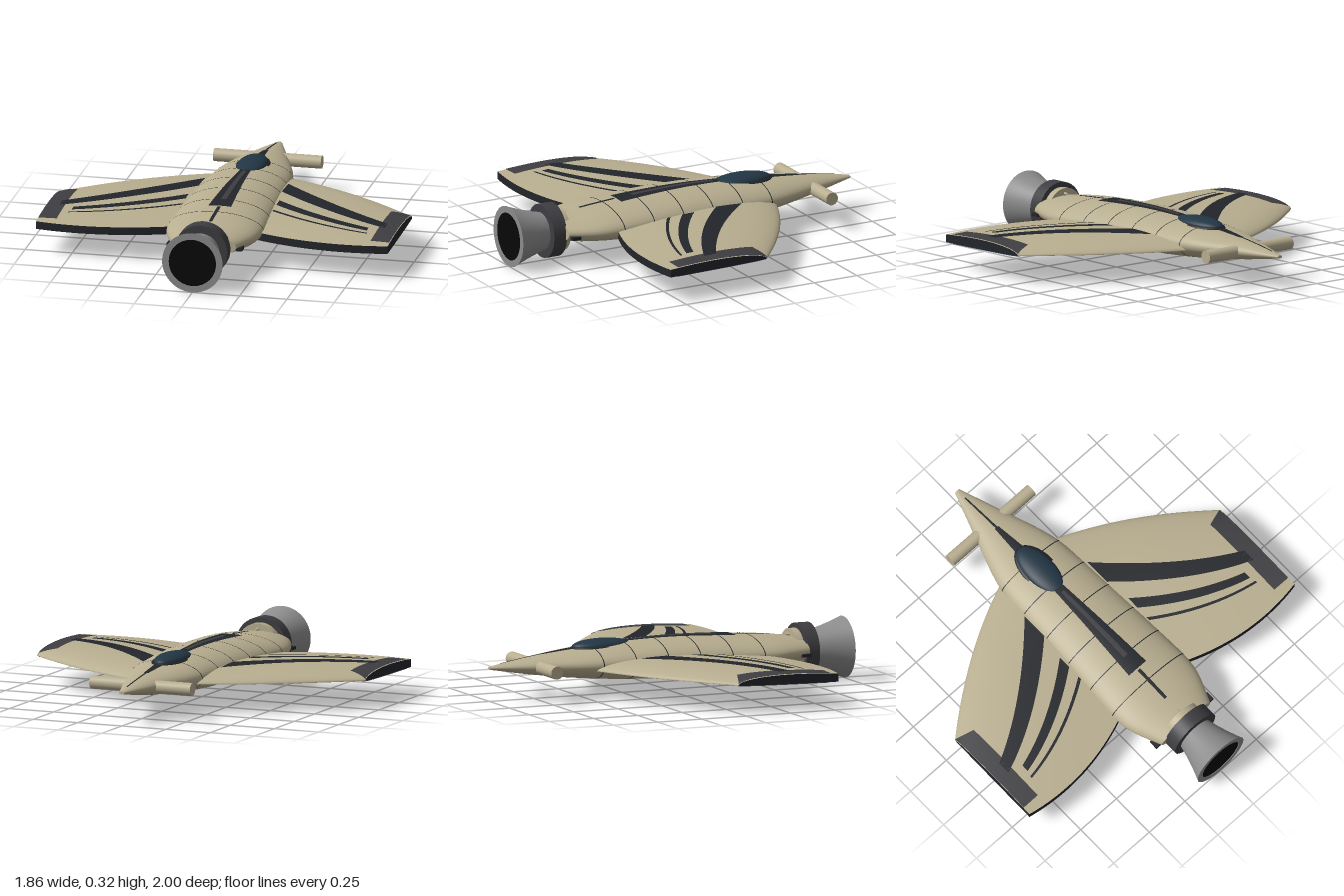
import * as THREE from 'three';
import { ParametricGeometry } from 'three/addons/geometries/ParametricGeometry.js';

const mat = (color) => new THREE.MeshStandardMaterial({ color, side: THREE.DoubleSide });
const TAN = mat(0xb8ae90), BLACK = mat(0x22252a), CHARCOAL = mat(0x3e3e42);
const GLASS = mat(0x223644), STEEL = mat(0x8c8c8c), VOID = mat(0x080808);
const lerp = THREE.MathUtils.lerp;

function add(parent, name, geometry, material, x = 0, y = 0, z = 0) {
  const mesh = new THREE.Mesh(geometry, material);
  mesh.name = name;
  mesh.position.set(x, y, z);
  parent.add(mesh);
  return mesh;
}

// Surface from a rule (u, v) -> [x, y, z]
const surface = (rule, nu, nv) =>
  new ParametricGeometry((u, v, target) => target.set(...rule(u, v)), nu, nv);

// Fuselage stations: z, half width, half height
const MID = 0.178;
const stations = [
  [-1, 0.015, 0.008], [-0.76, 0.1, 0.047], [-0.476, 0.194, 0.08], [-0.26, 0.22, 0.097],
  [0, 0.235, 0.106], [0.26, 0.245, 0.1], [0.49, 0.248, 0.086], [0.58, 0.233, 0.078], [0.738, 0.17, 0.06],
];
const samples = new THREE.CatmullRomCurve3(
  stations.map((p) => new THREE.Vector3(...p)), false, 'centripetal').getPoints(240);

function bodySize(z) {
  let i = 1;
  while (i < samples.length - 1 && samples[i].x < z) i++;
  const a = samples[i - 1], b = samples[i];
  const t = THREE.MathUtils.clamp((z - a.x) / (b.x - a.x), 0, 1);
  return [lerp(a.y, b.y, t), lerp(a.z, b.z, t)];
}

function bodyBand(z0, z1, offset, rows) {
  return surface((u, v) => {
    const z = lerp(z0, z1, v), [w, h] = bodySize(z), a = u * Math.PI * 2;
    return [(w + offset) * Math.cos(a), MID + (h + offset) * Math.sin(a), z];
  }, 64, rows);
}

// Stripe lying on the top (side 1) or bottom (side -1) of the fuselage
function bodyStripe(side, x, z0, z1, half0, half1, offset = 0.003) {
  return surface((u, v) => {
    const z = lerp(z0, z1, v), [w, h] = bodySize(z);
    const px = x + (0.5 - u) * 2 * lerp(half0, half1, v) * side;
    return [px, MID + side * (h * Math.sqrt(Math.max(0, 1 - (px / w) ** 2)) + offset), z];
  }, 6, 30);
}

// Wing rules: leading edge, trailing edge and section height
const ROOT = 0.1, TIP = 0.93;
function leadZ(x) {
  const t = (x - 0.2) / 0.73;
  return lerp(-0.47, -0.01, t) - 0.17 * t * (1 - t);
}
function trailZ(x) {
  const t = (x - 0.25) / 0.68;
  return 0.49 + 0.065 * t + 0.2 * t * (1 - t);
}
function wingY(x, f, side) {
  if (side < 0) return 0.155 - 0.015 * Math.sqrt(f);
  const arch = lerp(0.13, 0.075, Math.max(0, (x - 0.4) / 0.53) ** 2);
  return 0.155 + 0.026 * f + arch * Math.sqrt(f) * (1 - f);
}
function wingPoint(x, f, side) {
  return [x, wingY(x, f, side), lerp(leadZ(x), trailZ(x), f)];
}

// Stripe on the wing between x0 and x1; ends are [front z, back z]
function wingStripe(side, x0, x1, end0, end1, bulge) {
  return surface((u, v) => {
    const x = lerp(x0, x1, v), k = side > 0 ? u : 1 - u;
    const z = lerp(lerp(end0[0], end0[1], k), lerp(end1[0], end1[1], k), v) + bulge * 4 * v * (1 - v);
    const f = THREE.MathUtils.clamp((z - leadZ(x)) / (trailZ(x) - leadZ(x)), 0, 1);
    return [x, wingY(x, f, side) + side * 0.003, z];
  }, 12, 24);
}

function makeWing() {
  const wing = new THREE.Group();
  add(wing, 'wingTop', surface((u, v) => wingPoint(lerp(ROOT, TIP, v), u * u, 1), 32, 28), TAN);
  add(wing, 'wingUnderside', surface((u, v) => wingPoint(lerp(ROOT, TIP, v), (1 - u) ** 2, -1), 32, 28), TAN);
  add(wing, 'trailingEdge', surface((u, v) => {
    const x = lerp(ROOT, TIP, u);
    return [x, lerp(wingY(x, 1, -1), wingY(x, 1, 1), v), trailZ(x)];
  }, 28, 1), BLACK);
  add(wing, 'wingTipFace', surface((u, v) => {
    const f = v * v;
    return [TIP, lerp(wingY(TIP, f, -1), wingY(TIP, f, 1), u), lerp(leadZ(TIP), trailZ(TIP), f)];
  }, 1, 24), BLACK);
  for (const side of [1, -1]) {
    add(wing, 'wideStripe', wingStripe(side, 0.22, 0.86, [-0.25, -0.1], [0.25, 0.32], 0.045), BLACK);
    add(wing, 'middleStripe', wingStripe(side, 0.24, 0.78, [0.04, 0.11], [0.34, 0.38], 0.035), BLACK);
    add(wing, 'thinStripe', wingStripe(side, 0.24, 0.79, [0.18, 0.2], [0.41, 0.422], 0.035), BLACK);
    add(wing, 'tipPanel', wingStripe(side, 0.83, 0.928, [0.025, 0.51], [-0.01, 0.51], 0), CHARCOAL);
  }
  return wing;
}

export function createModel() {
  const model = new THREE.Group();
  model.name = 'spacecraft';

  // Fuselage with end caps and panel seams
  add(model, 'fuselage', bodyBand(-1, 0.738, 0, 80), TAN);
  add(model, 'noseCap', new THREE.CircleGeometry(1, 32).rotateY(Math.PI).scale(0.015, 0.008, 1), TAN, 0, MID, -1);
  add(model, 'rearCap', new THREE.CircleGeometry(1, 64).scale(0.17, 0.06, 1), TAN, 0, MID, 0.738);
  for (let i = 0; i < 6; i++) {
    const z = -0.44 + i * 0.178;
    add(model, 'panelSeam', bodyBand(z - 0.0025, z + 0.0025, 0.0012, 1), BLACK);
  }

  // Dark stripes along the spine and belly
  add(model, 'noseLine', bodyStripe(1, 0, -0.94, -0.7, 0.004, 0.006), BLACK);
  add(model, 'frontSpine', bodyStripe(1, 0, -0.7, -0.45, 0.012, 0.032), BLACK);
  add(model, 'rearSpine', bodyStripe(1, 0, -0.28, 0.37, 0.025, 0.06), BLACK);
  add(model, 'spineInlay', bodyStripe(1, 0, -0.2, 0.28, 0.01, 0.014, 0.005), CHARCOAL);
  add(model, 'tailLine', bodyStripe(1, 0, 0.38, 0.585, 0.009, 0.009), BLACK);
  add(model, 'bellyLine', bodyStripe(-1, 0, -0.64, 0.1, 0.005, 0.005), BLACK);
  for (const s of [-1, 1]) add(model, 'bellyStripe', bodyStripe(-1, s * 0.075, -0.1, 0.4, 0.013, 0.013), BLACK);
  for (const x of [-0.07, -0.023, 0.023, 0.07]) {
    add(model, 'bellyPort', new THREE.SphereGeometry(0.01, 12, 8), BLACK, x, 0.178 - 0.071, 0.61);
  }

  // Canopy with a dark collar around its front
  add(model, 'canopy', new THREE.SphereGeometry(1, 40, 24).scale(0.078, 0.036, 0.165), GLASS, 0, 0.26, -0.365);
  add(model, 'canopyCollar', new THREE.SphereGeometry(1, 40, 16, Math.PI, Math.PI)
    .rotateY(Math.PI).rotateY(Math.PI).scale(0.092, 0.024, 0.175), BLACK, 0, 0.252, -0.365);

  // Wings, nose thruster tubes and rear vents on both sides
  for (const s of [1, -1]) {
    const side = new THREE.Group();
    side.name = s > 0 ? 'leftSide' : 'rightSide';
    const wing = makeWing();
    wing.name = s > 0 ? 'leftWing' : 'rightWing';
    side.add(wing);
    add(side, 'noseTube', new THREE.CylinderGeometry(0.034, 0.034, 0.21, 32).rotateZ(Math.PI / 2), TAN, 0.18, 0.176, -0.745);
    add(side, 'rearVent', new THREE.BoxGeometry(0.03, 0.016, 0.05), BLACK, 0.185, 0.163, 0.705);
    side.scale.x = s;
    model.add(side);
  }

  // Engine: mounting plate, dark ring, flared nozzle with a black throat
  const engine = new THREE.Group();
  engine.name = 'engine';
  engine.position.y = 0.165;
  const lathe = (pts) => new THREE.LatheGeometry(pts.map((p) => new THREE.Vector2(...p)), 64).rotateX(Math.PI / 2);
  const disc = (r, depth) => new THREE.CylinderGeometry(r, r, depth, 64).rotateX(Math.PI / 2);
  add(engine, 'mountPlate', disc(0.115, 0.04), TAN, 0, 0, 0.715);
  add(engine, 'engineRing', disc(0.141, 0.075), CHARCOAL, 0, 0, 0.77);
  add(engine, 'nozzle', lathe([[0.097, 0.8], [0.112, 0.86], [0.13, 0.92], [0.148, 0.97], [0.16, 1]]), STEEL);
  add(engine, 'nozzleRim', new THREE.RingGeometry(0.125, 0.16, 64), STEEL, 0, 0, 1);
  add(engine, 'nozzleThroat', new THREE.CircleGeometry(0.127, 64), VOID, 0, 0, 0.996);
  add(engine, 'tailSpike', new THREE.ConeGeometry(0.018, 0.06, 16).rotateX(-Math.PI / 2), TAN, 0, 0.085, 0.695);
  model.add(engine);

  return model;
}
